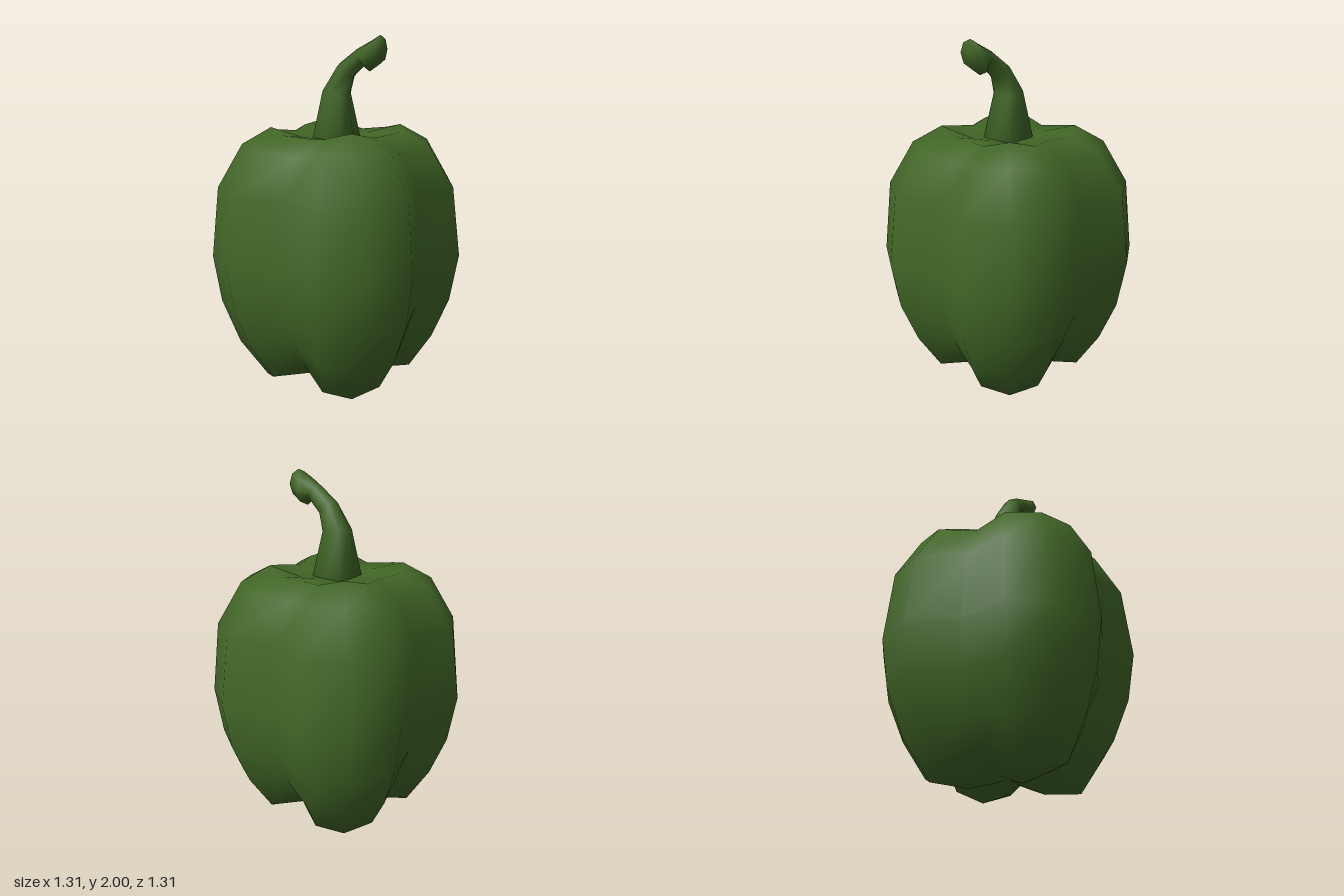
import * as THREE from 'three';

// Smooth closed skin over equal-sized rings, with one apex at each end
function skin(rings, start, end) {
  const n = rings[0].length;
  const pts = [...rings.flat(), start, end];
  const s = rings.length * n, e = s + 1, last = s - n;
  const index = [];
  for (let j = 0; j < n; j++) {
    const k = (j + 1) % n;
    for (let i = 0; i < rings.length - 1; i++) {
      const a = i * n + j, b = i * n + k;
      index.push(a, a + n, b, b, a + n, b + n);
    }
    index.push(s, j, k, last + j, e, last + k);
  }
  const geometry = new THREE.BufferGeometry();
  geometry.setAttribute('position', new THREE.Float32BufferAttribute(pts.flat(), 3));
  geometry.setIndex(index);
  geometry.computeVertexNormals();
  return geometry;
}

// Four-lobed ring: [radius, height] for the groove, the lobe's shoulder (x) and its diagonal (x = z)
function lobedRing([grooveR, grooveY, sideX, sideY, diag, diagY]) {
  const ring = [];
  for (let q = 0; q < 4; q++) {
    const c = Math.round(Math.cos(q * Math.PI / 2)), s = Math.round(Math.sin(q * Math.PI / 2));
    const quarter = [
      [grooveR, grooveY, 0],
      [sideX, sideY, sideX * 0.43],
      [diag, diagY, diag],
      [sideX * 0.43, sideY, sideX],
    ];
    for (const [x, y, z] of quarter) ring.push([x * c - z * s, y, x * s + z * c]);
  }
  return ring;
}

// Eight-sided stem ring around (x, y), facing along the given angle from upright
function stemRing([x, y, r, lean, flare]) {
  return Array.from({ length: 8 }, (_, k) => {
    const a = k * Math.PI / 4, rr = k % 2 ? r * flare : r;
    const u = Math.cos(a) * rr;
    return [x + u * Math.cos(lean), y - u * Math.sin(lean), Math.sin(a) * rr];
  });
}

export function createModel() {
  const group = new THREE.Group();
  const green = new THREE.MeshStandardMaterial({ color: 0x416626 });
  green.name = 'pepper green';

  // Body, from the feet of the lobes up to the dimple
  const body = new THREE.Mesh(skin([
    [0.12, 0.06, 0.18, 0.03, 0.15, 0.0],
    [0.34, 0.17, 0.405, 0.07, 0.30, 0.018],
    [0.45, 0.32, 0.525, 0.27, 0.41, 0.24],
    [0.53, 0.52, 0.612, 0.50, 0.48, 0.50],
    [0.565, 0.77, 0.655, 0.77, 0.51, 0.77],
    [0.525, 1.16, 0.612, 1.165, 0.48, 1.17],
    [0.42, 1.37, 0.48, 1.40, 0.38, 1.41],
    [0.28, 1.455, 0.33, 1.47, 0.265, 1.50],
    [0.14, 1.44, 0.19, 1.445, 0.19, 1.45],
  ].map(lobedRing), [0, 0.06, 0], [0, 1.42, 0]), green);
  body.name = 'body';

  // Bent stem with a knobbed end
  const stem = new THREE.Mesh(skin([
    [0, 1.41, 0.112, 0, 1.28],
    [0, 1.69, 0.081, 0.1, 1],
    [0.063, 1.808, 0.058, 0.75, 1],
    [0.16, 1.885, 0.049, 0.95, 1],
    [0.222, 1.89, 0.083, 1.65, 1],
    [0.28, 1.925, 0.076, Math.PI / 2, 1],
  ].map(stemRing), [0, 1.41, 0], [0.295, 1.93, 0]), green);
  stem.name = 'stem';

  group.add(body, stem);
  return group;
}
